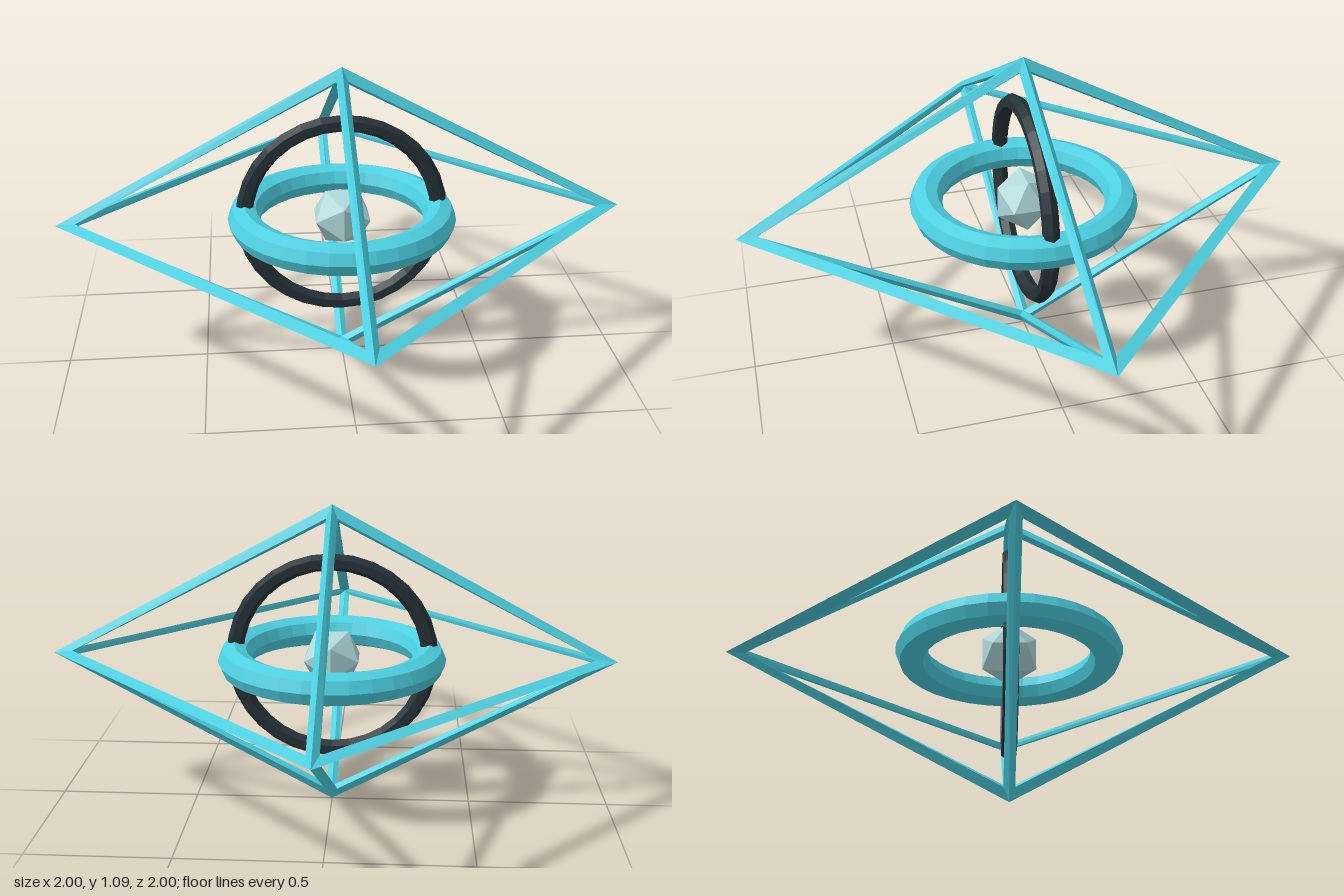
import * as THREE from 'three';

const CENTER_Y = 0.545;

// Mitred diamond-section bars along every edge of a squashed octahedron
function frameGeometry() {
  const inset = 0.022;
  const tip = (axis, sign, wide, tall) => new THREE.Vector3().setComponent(axis, sign * (axis === 1 ? tall : wide));
  const positions = [];
  const quad = (a, b, c, d) => [a, b, c, a, c, d].forEach((p) => positions.push(p.x, p.y, p.z));

  for (const sx of [1, -1]) for (const sy of [1, -1]) for (const sz of [1, -1]) {
    let corners = [[0, sx], [1, sy], [2, sz]];
    if (sx * sy * sz < 0) corners.reverse();
    const outer = corners.map(([a, s]) => tip(a, s, 1, 0.545));
    const inner = corners.map(([a, s]) => tip(a, s, 0.944, 0.495));
    const base = corners.map(([a, s]) => tip(a, s, 0.972, 0.52));

    // Inset the triangular opening evenly toward its incentre
    const len = [0, 1, 2].map((i) => base[(i + 1) % 3].distanceTo(base[(i + 2) % 3]));
    const perimeter = len[0] + len[1] + len[2];
    const incentre = new THREE.Vector3();
    base.forEach((p, i) => incentre.addScaledVector(p, len[i] / perimeter));
    const area = new THREE.Triangle(...base).getArea();
    const opening = base.map((p) => p.clone().lerp(incentre, inset * perimeter / (2 * area)));

    for (let i = 0; i < 3; i++) {
      const j = (i + 1) % 3;
      quad(outer[i], outer[j], opening[j], opening[i]);
      quad(inner[j], inner[i], opening[i], opening[j]);
    }
  }
  const geometry = new THREE.BufferGeometry();
  geometry.setAttribute('position', new THREE.Float32BufferAttribute(positions, 3));
  geometry.computeVertexNormals();
  return geometry;
}

export function createModel() {
  const model = new THREE.Group();
  model.name = 'gyroscopeOctahedron';

  const material = (name, color) => {
    const m = new THREE.MeshStandardMaterial({ color, flatShading: true });
    m.name = name;
    return m;
  };
  const cyan = material('cyan', 0x4dd0e1);
  const charcoal = material('charcoal', 0x263238);
  const paleBlue = material('paleBlue', 0xb0d8dc);

  const add = (name, geometry, mat) => {
    const mesh = new THREE.Mesh(geometry, mat);
    mesh.name = name;
    mesh.position.y = CENTER_Y;
    model.add(mesh);
    return mesh;
  };

  // Outer cage
  add('octahedralFrame', frameGeometry(), cyan);

  // Thick level ring and thin upright ring
  add('levelRing', new THREE.TorusGeometry(0.345, 0.058, 8, 32), cyan).rotation.x = Math.PI / 2;
  add('uprightRing', new THREE.TorusGeometry(0.345, 0.03, 6, 32), charcoal);

  // Faceted core
  add('core', new THREE.IcosahedronGeometry(0.112, 0), paleBlue);

  return model;
}
